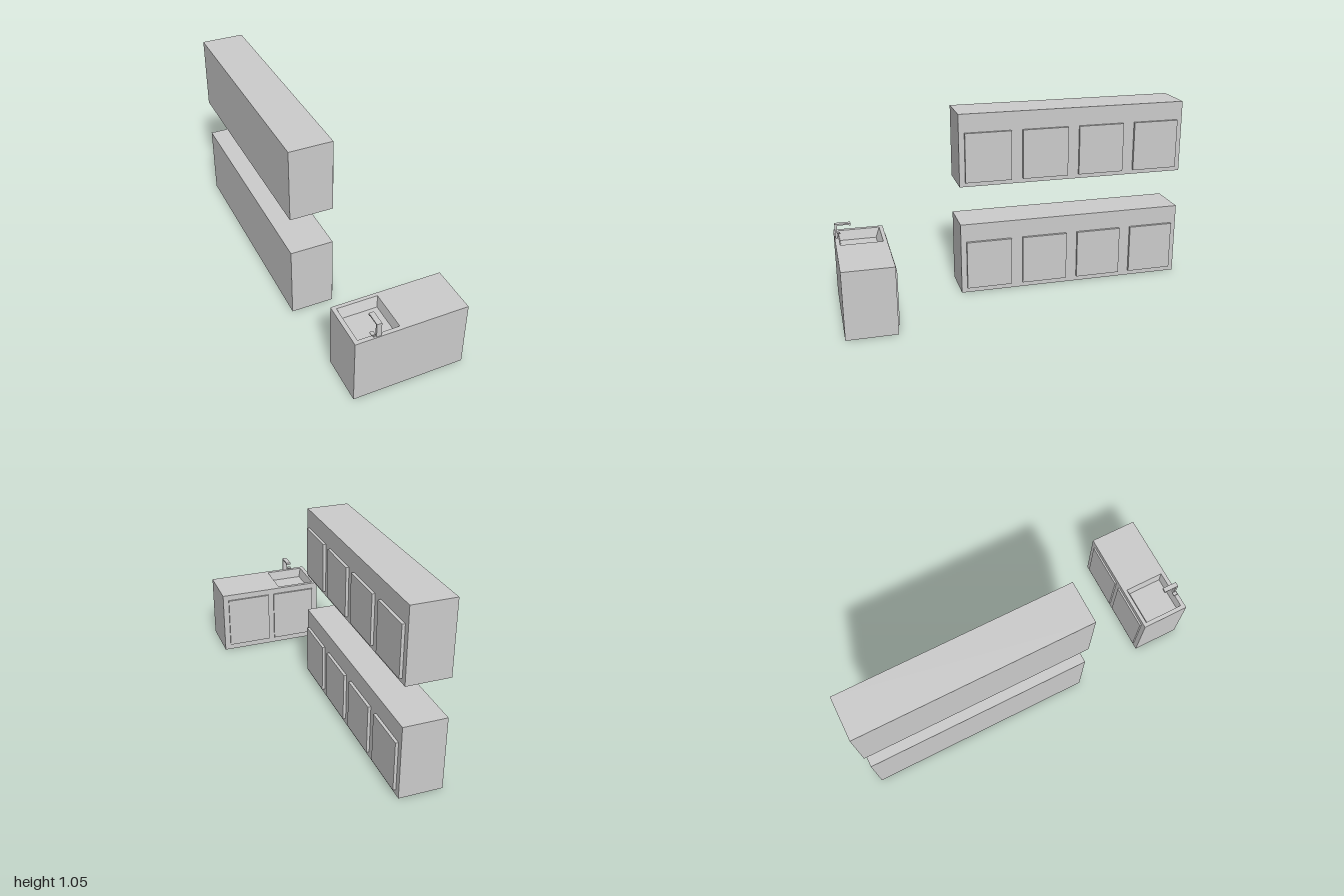
import * as THREE from 'three';

const material = new THREE.MeshStandardMaterial({ color: 0xcccccc });
const shell = new THREE.MeshStandardMaterial({ color: 0xcccccc, side: THREE.DoubleSide, flatShading: true });

// Box given by its extents on each axis
function box(name, [x0, x1], [y0, y1], [z0, z1]) {
  const mesh = new THREE.Mesh(new THREE.BoxGeometry(x1 - x0, y1 - y0, z1 - z0), material);
  mesh.name = name;
  mesh.position.set((x0 + x1) / 2, (y0 + y1) / 2, (z0 + z1) / 2);
  return mesh;
}

// Skin over rectangular rings [x0, x1, z0, z1, y], closed on the last ring only
function rectLoft(rings) {
  const loops = rings.map(([x0, x1, z0, z1, y]) => [[x0, y, z1], [x1, y, z1], [x1, y, z0], [x0, y, z0]]);
  const points = [];
  const quad = (a, b, c, d) => points.push(...a, ...b, ...c, ...a, ...c, ...d);
  for (let r = 0; r < loops.length - 1; r++) {
    for (let i = 0; i < 4; i++) {
      const j = (i + 1) % 4;
      quad(loops[r][i], loops[r][j], loops[r + 1][j], loops[r + 1][i]);
    }
  }
  quad(...loops[loops.length - 1]);
  const geometry = new THREE.BufferGeometry();
  geometry.setAttribute('position', new THREE.Float32BufferAttribute(points, 3));
  geometry.computeVertexNormals();
  return geometry;
}

// Long cabinet with a row of four doors on its +x side
function cabinet(name, bodyY, doorY) {
  const group = new THREE.Group();
  group.name = name;
  group.add(box('cabinetBody', [-0.328, -0.088], bodyY, [-1, 0.31]));
  for (let i = 0; i < 4; i++) {
    const z = 0.147 - i * 0.328;
    group.add(box('cabinetDoor', [-0.09, -0.072], doorY, [z - 0.131, z + 0.131]));
  }
  return group;
}

// Sink counter: open below, with a tapered basin sunk into the top
function sinkCounter() {
  const group = new THREE.Group();
  group.name = 'sinkCounter';
  const body = new THREE.Mesh(rectLoft([
    [-0.294, 0.326, 0.725, 1, 0],
    [-0.294, 0.326, 0.725, 1, 0.38],
    [-0.27, -0.045, 0.746, 0.977, 0.38],
    [-0.258, -0.056, 0.767, 0.967, 0.325],
  ]), shell);
  body.name = 'counterBodyWithBasin';
  group.add(body);
  for (const x of [-0.262, 0.032]) {
    group.add(box('counterDoor', [x, x + 0.26], [0.035, 0.345], [0.715, 0.727]));
  }
  return group;
}

// Square faucet with a flat spout and a small lever beside it
function faucet() {
  const group = new THREE.Group();
  group.name = 'faucet';
  group.add(
    box('faucetPost', [-0.18, -0.153], [0.38, 0.453], [0.984, 0.996]),
    box('faucetSpout', [-0.18, -0.153], [0.453, 0.461], [0.91, 0.996]),
    box('faucetTip', [-0.18, -0.153], [0.447, 0.453], [0.91, 0.918]),
    box('leverStem', [-0.194, -0.186], [0.38, 0.393], [0.984, 0.992]),
    box('leverHandle', [-0.204, -0.184], [0.393, 0.397], [0.967, 0.992]),
  );
  return group;
}

export function createModel() {
  const model = new THREE.Group();
  model.name = 'kitchenUnits';
  model.add(
    cabinet('lowerCabinet', [0, 0.415], [0.03, 0.31]),
    cabinet('upperCabinet', [0.637, 1.048], [0.663, 0.943]),
    sinkCounter(),
    faucet(),
  );
  return model;
}
